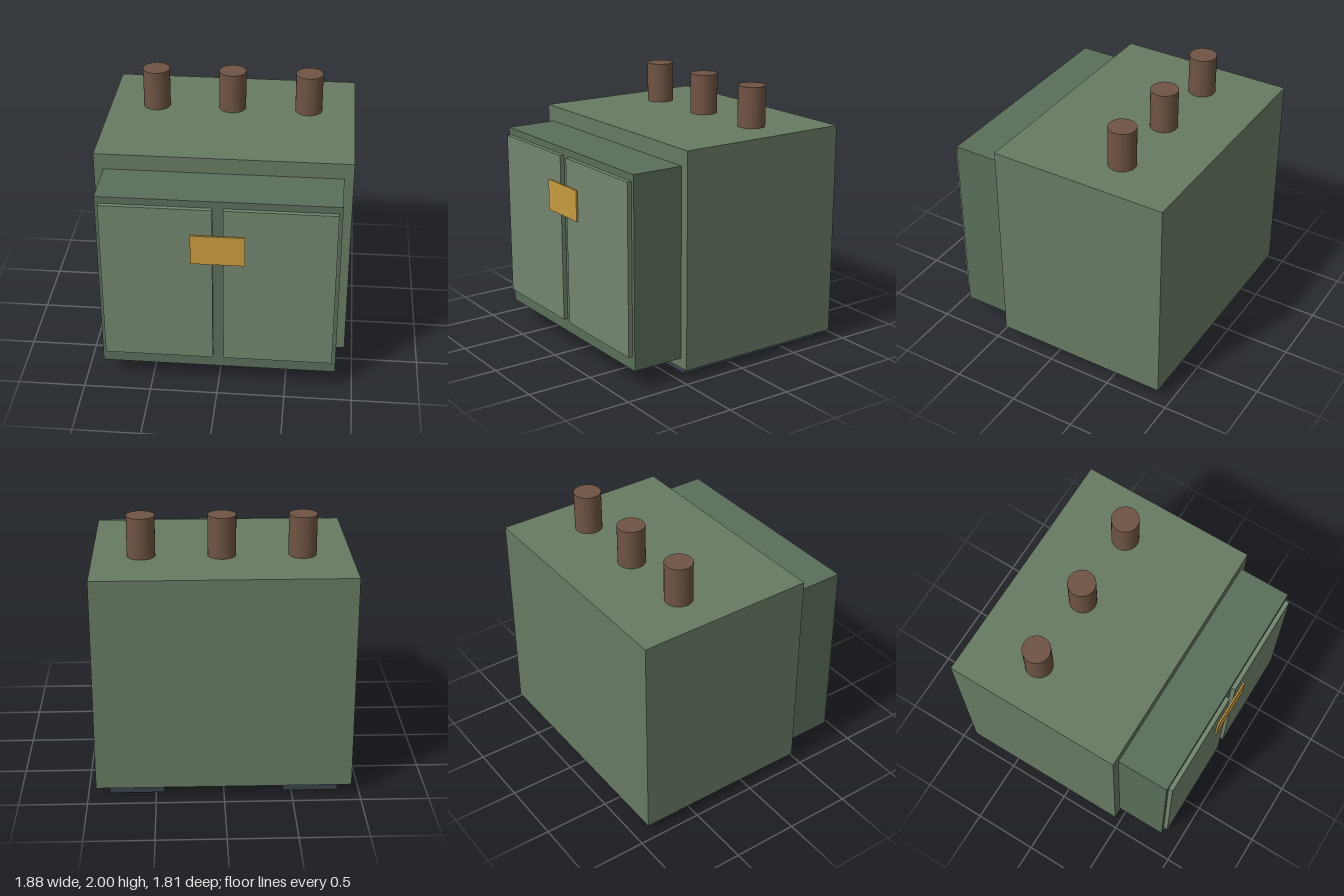
import * as THREE from 'three';

const paint = (color) => new THREE.MeshStandardMaterial({ color });

export function createModel() {
  const model = new THREE.Group();
  const tankGreen = paint(0x687a63);
  const cabinetGreen = paint(0x5a6e5a);
  const doorGreen = paint(0x72856e);
  const brown = paint(0x6f5443);
  const yellow = paint(0xc99c3f);
  const slate = paint(0x36434b);

  const add = (name, geometry, material, x, y, z) => {
    const mesh = new THREE.Mesh(geometry, material);
    mesh.name = name;
    mesh.position.set(x, y, z);
    model.add(mesh);
  };

  // Box given by its lower and upper limits on each axis
  const box = (name, material, [x0, x1], [y0, y1], [z0, z1]) =>
    add(name, new THREE.BoxGeometry(x1 - x0, y1 - y0, z1 - z0), material,
      (x0 + x1) / 2, (y0 + y1) / 2, (z0 + z1) / 2);

  // Main tank and the shallower cabinet on its front
  box('tank', tankGreen, [-0.94, 0.94], [0.073, 1.694], [-0.903, 0.46]);
  box('cabinet', cabinetGreen, [-0.87, 0.87], [0.146, 1.573], [0.46, 0.857]);

  // Pair of doors and pair of base skids
  for (const [side, s] of [['left', 1], ['right', -1]]) {
    const span = (a, b) => (s > 0 ? [a, b] : [-b, -a]);
    box(side + 'Door', doorGreen, span(0.039, 0.843), [0.248, 1.52], [0.857, 0.89]);
    box(side + 'Skid', slate, span(0.435, 0.843), [0, 0.073], [-0.848, 0.406]);
  }

  // Warning plate bridging the doors
  box('warningPlate', yellow, [-0.195, 0.195], [1.08, 1.313], [0.89, 0.903]);

  // Row of bushings on the roof
  const bushing = new THREE.CylinderGeometry(0.103, 0.103, 0.306, 32);
  for (const x of [-0.585, 0, 0.585]) add('bushing', bushing, brown, x, 1.847, -0.38);

  return model;
}
